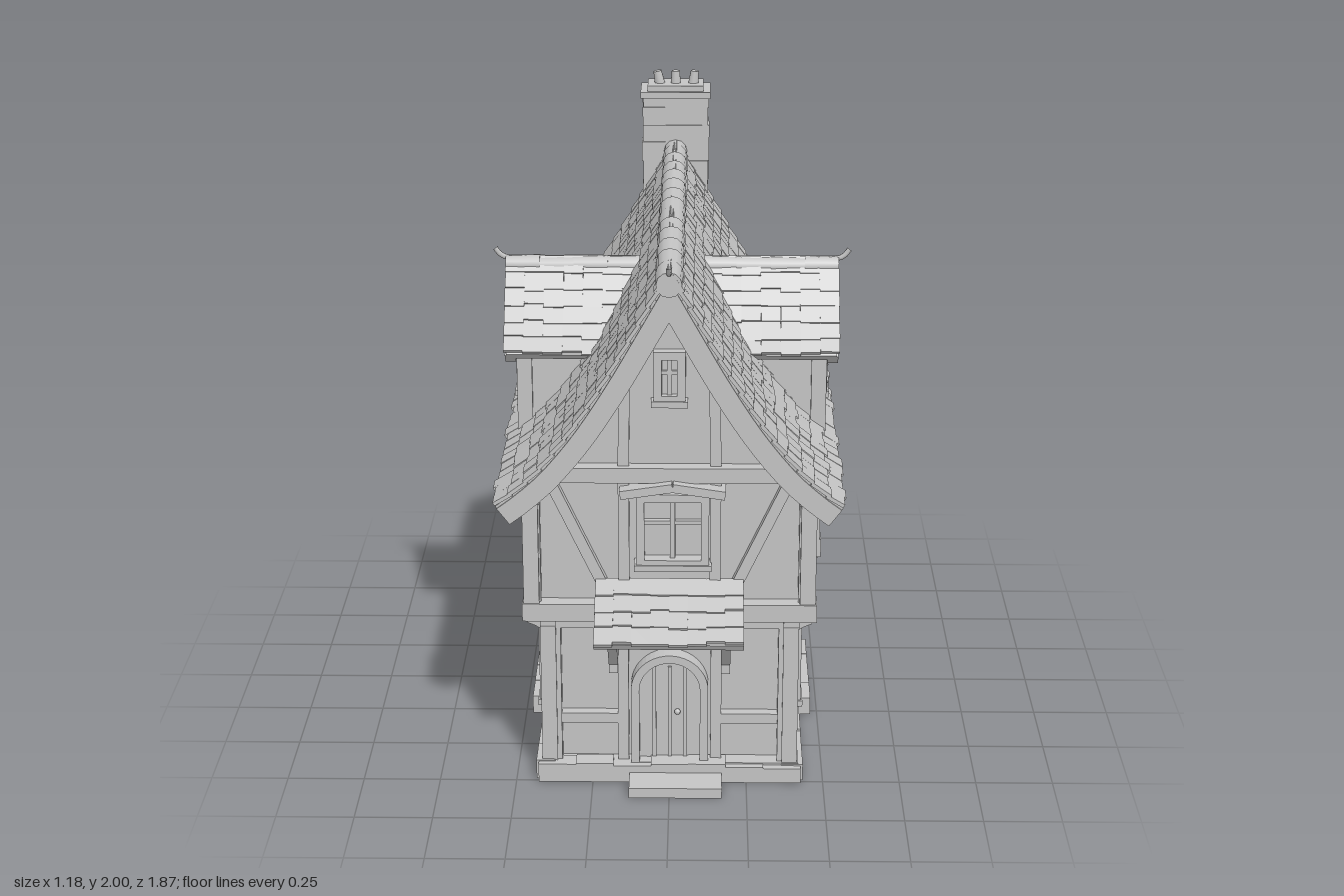
import * as THREE from 'three';
import { mergeGeometries } from 'three/addons/utils/BufferGeometryUtils.js';

const grey = new THREE.MeshStandardMaterial({ color: 0xc4c4c4 });
grey.name = 'plain grey';

let seed = 7;
const rnd = (a = 0, b = 1) => {
  seed = (seed * 16807) % 2147483647;
  return a + (b - a) * (seed / 2147483647);
};

function add(parent, name, geo, x = 0, y = 0, z = 0) {
  const m = new THREE.Mesh(geo, grey);
  m.name = name;
  m.position.set(x, y, z);
  parent.add(m);
  return m;
}
function sub(parent, name, rotY = 0, z = 0) {
  const g = new THREE.Group();
  g.name = name;
  g.rotation.y = rotY;
  g.position.z = z;
  parent.add(g);
  return g;
}
const box = (w, h, d, x = 0, y = 0, z = 0) => new THREE.BoxGeometry(w, h, d).translate(x, y, z);
const slab = (pts, depth) => new THREE.ExtrudeGeometry(
  new THREE.Shape(pts.map(p => new THREE.Vector2(p[0], p[1]))), { depth, bevelEnabled: false });

// straight timber between two points of a facade, standing out from plane z
function beam(g, x1, y1, x2, y2, w, z, d, name = 'timber') {
  const m = add(g, name, box(Math.hypot(x2 - x1, y2 - y1), w, d), (x1 + x2) / 2, (y1 + y2) / 2, z + d / 2);
  m.rotation.z = Math.atan2(y2 - y1, x2 - x1);
}

// curved wooden bracket, deepest at its top
function bracket(g, x, y, z, h, d, w = 0.05) {
  const s = new THREE.Shape();
  s.moveTo(0, 0); s.lineTo(0, -h); s.quadraticCurveTo(d * 0.25, -h * 0.4, d, -0.02); s.lineTo(d, 0);
  const geo = new THREE.ExtrudeGeometry(s, { depth: w, bevelEnabled: false, curveSegments: 5 });
  add(g, 'bracket', geo.translate(0, 0, -w / 2).rotateY(-Math.PI / 2), x, y, z);
}

// framed casement window with glazing bars and a sill
function casement(g, x, y, w, h, z, d = 0.035) {
  const t = 0.026, f = sub(g, 'window');
  f.position.set(x, y, z);
  add(f, 'glass', box(w, h, 0.008, 0, 0, 0.006));
  for (const s of [-1, 1]) {
    add(f, 'frameSide', box(t, h, d, s * (w - t) / 2, 0, d / 2));
    add(f, 'frameRail', box(w, t, d, 0, s * (h - t) / 2, d / 2));
  }
  add(f, 'mullion', box(0.016, h, d * 0.6, 0, 0, d * 0.3));
  add(f, 'glazingBar', box(w, 0.012, d * 0.5, 0, h * 0.08, d * 0.25));
  add(f, 'sill', box(w + 0.015, 0.02, d + 0.012, 0, -h / 2, d / 2));
}

// half roof profile: smooth samples from ridge to eave, and the same moved inwards
const sample = pts => new THREE.SplineCurve(pts.map(p => new THREE.Vector2(...p))).getSpacedPoints(18);
const inset = (pts, d) => pts.map((p, i) => {
  if (i === 0) return new THREE.Vector2(0, p.y - d * 1.7);
  const t = pts[Math.min(i + 1, pts.length - 1)].clone().sub(pts[i - 1]).normalize();
  return new THREE.Vector2(p.x + t.y * d, p.y - t.x * d);
});
const mirrored = pts => [...pts.slice().reverse().map(p => [p.x, p.y]), ...pts.slice(1).map(p => [-p.x, p.y])];
const band = (pts, d) => [...mirrored(pts), ...mirrored(inset(pts, d)).reverse()];

// overlapping shingles on a slope that falls towards +x, centred along z
function shingles(curve, length, rows, width) {
  const out = [], n = Math.round(length / width);
  for (let r = 0; r < rows; r++) {
    const a = curve.getPointAt(r / rows), b = curve.getPointAt((r + 1) / rows);
    const dir = b.clone().sub(a), len = dir.length(), ang = Math.atan2(dir.y, dir.x);
    for (let i = 0; i < n; i++) {
      const l = len * 1.1 + rnd(-0.008, 0.008), lift = rnd(0.002, 0.005);
      out.push(box(l, 0.012, length / n * rnd(0.98, 1.03), l / 2 - len * 0.1, 0, 0)
        .rotateZ(ang + 0.09 + rnd(-0.02, 0.02))
        .translate(a.x - Math.sin(ang) * lift, a.y + Math.cos(ang) * lift, (i + 0.5) * length / n - length / 2));
    }
  }
  return mergeGeometries(out);
}

// complete pitched roof along z with bargeboards, ridge and upturned ends
function pitchedRoof(g, profile, z0, z1, rows, board, ridgeR, ends) {
  const pts = sample(profile), curve = new THREE.SplineCurve(profile.map(p => new THREE.Vector2(...p)));
  const len = z1 - z0, zc = (z0 + z1) / 2, top = pts[0].y;
  add(g, 'roofDeck', slab(band(pts, 0.03), len - 0.02), 0, 0, z0 + 0.01);
  for (const e of ends) {
    add(g, 'bargeboard', slab(band(inset(pts, 0.008), board), 0.035), 0, 0, e > 0 ? z1 - 0.04 : z0 + 0.005);
    const horn = new THREE.CatmullRomCurve3([[0, -0.05], [0.004, 0], [0.015, 0.02], [0.035, 0.035]]
      .map(p => new THREE.Vector3(0, top + p[0], (e > 0 ? z1 : z0) + e * p[1])));
    add(g, 'ridgeHorn', new THREE.TubeGeometry(horn, 8, 0.009, 6));
  }
  for (const s of [0, Math.PI]) add(g, 'shingles', shingles(curve, len, rows, 0.065).rotateY(s), 0, 0, zc);
  const n = Math.round(len / 0.12);
  for (let i = 0; i < n; i++)
    add(g, 'ridgeTile', new THREE.CylinderGeometry(ridgeR, ridgeR * 1.08, len / n, 12).rotateX(Math.PI / 2),
      0, top - ridgeR * 0.75 + rnd(-0.003, 0.003), z0 + (i + 0.5) * len / n);
  return pts;
}

// arch outline for door and its frame
function arch(s, r, y0, spring) {
  s.moveTo(-r, y0); s.lineTo(r, y0); s.lineTo(r, spring);
  s.absarc(0, spring, r, 0, Math.PI); s.lineTo(-r, y0);
  return s;
}

// timbers of one gable end
function gableEnd(g) {
  beam(g, -0.47, 0.6, 0.47, 0.6, 0.06, 0.68, 0.08, 'sillBeam');
  beam(g, -0.4, 1.07, 0.4, 1.07, 0.05, 0.69, 0.065, 'collarBeam');
  beam(g, -0.4, 0.555, 0.4, 0.555, 0.035, 0.68, 0.06, 'headBeam');
  for (const s of [-1, 1]) {
    beam(g, s * 0.44, 0.58, s * 0.44, 1.04, 0.05, 0.68, 0.075, 'cornerPost');
    beam(g, s * 0.39, 0.06, s * 0.39, 0.58, 0.05, 0.67, 0.075, 'cornerPost');
    beam(g, s * 0.145, 0.62, s * 0.145, 1.05, 0.035, 0.69, 0.05, 'stud');
    beam(g, s * 0.375, 1.04, s * 0.19, 0.64, 0.035, 0.69, 0.048, 'brace');
    beam(g, s * 0.145, 1.09, s * 0.14, 1.42, 0.035, 0.69, 0.045, 'stud');
    beam(g, s * 0.15, 0.06, s * 0.15, 0.56, 0.035, 0.68, 0.05, 'stud');
    beam(g, s * 0.14, 0.21, s * 0.39, 0.21, 0.035, 0.68, 0.05, 'rail');
    bracket(g, s * 0.39, 0.57, 0.72, 0.12, 0.03);
  }
}

// timbers and windows of one long side with its projecting middle bay; m mirrors it
function longSide(g, m) {
  const b = (z1, y1, z2, y2, w, p, d, n) => beam(g, m * z1, y1, m * z2, y2, w, p, d, n);
  // main wall
  b(0.75, 0.6, -0.75, 0.6, 0.055, 0.4, 0.07, 'sillBeam');
  b(0.75, 0.99, -0.75, 0.99, 0.045, 0.41, 0.055, 'wallPlate');
  b(0.73, 0.555, -0.73, 0.555, 0.035, 0.345, 0.065, 'headBeam');
  for (const s of [-1, 1]) {
    b(s * 0.715, 0.6, s * 0.715, 1.0, 0.045, 0.41, 0.055, 'upperPost');
    b(s * 0.715, 0.06, s * 0.715, 0.58, 0.045, 0.35, 0.065, 'lowerPost');
    b(s * 0.69, 0.96, s * 0.53, 0.63, 0.035, 0.405, 0.045, 'brace');
    b(s * 0.695, 0.2, s * 0.6, 0.08, 0.03, 0.35, 0.04, 'smallBrace');
    bracket(g, s * 0.715, 0.575, 0.37, 0.1, 0.085, 0.045);
  }
  for (const z of [0.61, 0.26, -0.31, -0.55]) b(z, 0.06, z, 0.56, 0.025, 0.35, 0.04, 'stud');
  b(0.715, 0.21, 0.6, 0.21, 0.035, 0.35, 0.04, 'rail');
  b(-0.11, 0.21, -0.715, 0.21, 0.035, 0.35, 0.045, 'rail');
  casement(g, m * 0.405, 0.885, 0.19, 0.23, 0.42, 0.045);
  casement(g, m * -0.395, 0.885, 0.18, 0.22, 0.42, 0.045);
  casement(g, m * 0.435, 0.34, 0.32, 0.28, 0.365, 0.065);
  casement(g, m * -0.42, 0.34, 0.2, 0.26, 0.365, 0.06);
  // middle bay
  add(g, 'bayUpperWall', box(0.36, 0.46, 0.1, m * 0.03, 0.8, 0.42));
  add(g, 'bayLowerWall', box(0.32, 0.55, 0.1, m * 0.045, 0.305, 0.355));
  b(0.225, 0.595, -0.165, 0.595, 0.065, 0.41, 0.095, 'baySill');
  b(0.22, 0.99, -0.16, 0.99, 0.045, 0.44, 0.06, 'bayPlate');
  for (const z of [0.205, -0.145]) b(z, 0.6, z, 1.0, 0.045, 0.4, 0.1, 'bayUpperPost');
  for (const z of [0.195, -0.11]) {
    b(z, 0.06, z, 0.58, 0.045, 0.35, 0.095, 'bayLowerPost');
    bracket(g, m * z, 0.575, 0.42, 0.09, 0.075, 0.04);
  }
  for (const z of [0.24, -0.22]) bracket(g, m * z, 0.575, 0.37, 0.085, 0.09, 0.035);
  b(0.195, 0.21, -0.11, 0.21, 0.035, 0.385, 0.045, 'rail');
  b(0.195, 0.47, -0.11, 0.47, 0.035, 0.385, 0.055, 'bayHead');
  b(0.17, 0.37, -0.04, 0.1, 0.035, 0.385, 0.045, 'brace');
}

// dormer facing local +z
function dormer(g) {
  const pts = pitchedRoof(g, [[0, 1.575], [0.08, 1.465], [0.15, 1.375], [0.212, 1.31]], 0.1, 0.55, 6, 0.045, 0.03, [1]);
  const head = inset(pts, 0.02).filter(p => p.x < 0.15);
  add(g, 'dormerWall', slab([[0.15, 0.97], ...mirrored(head), [-0.15, 0.97]], 0.29), 0, 0, 0.19);
  for (const s of [-1, 1]) beam(g, s * 0.145, 0.98, s * 0.145, 1.36, 0.035, 0.46, 0.05, 'dormerPost');
  beam(g, -0.14, 1.385, 0.14, 1.385, 0.03, 0.46, 0.045, 'dormerHead');
  beam(g, -0.15, 1.02, 0.15, 1.02, 0.04, 0.46, 0.05, 'dormerSill');
  casement(g, 0, 1.25, 0.21, 0.22, 0.475, 0.04);
}

export function createModel() {
  seed = 7;
  const root = new THREE.Group();
  root.name = 'cottage';

  // roof and walls
  const house = sub(root, 'house', 0, -0.015);
  const pts = pitchedRoof(sub(house, 'mainRoof'), [[0, 1.75], [0.1, 1.57], [0.2, 1.395], [0.3, 1.24], [0.4, 1.115],
    [0.48, 1.04], [0.542, 0.992]], -0.825, 0.83, 15, 0.066, 0.04, [-1, 1]);
  const head = inset(pts, 0.02).filter(p => p.x < 0.415);
  add(house, 'upperWalls', slab([[0.42, 0.57], [0.42, 1.04], ...mirrored(head), [-0.42, 1.04], [-0.42, 0.57]], 1.42), 0, 0, -0.71);
  add(house, 'lowerWalls', box(0.725, 0.55, 1.39, 0, 0.305, 0));
  const front = sub(house, 'frontGable');
  gableEnd(front);
  gableEnd(sub(house, 'backGable', Math.PI));
  for (const s of [-1, 1]) {
    longSide(sub(house, s > 0 ? 'leftSide' : 'rightSide', s * Math.PI / 2), -s);
    dormer(sub(root, s > 0 ? 'leftDormer' : 'rightDormer', s * Math.PI / 2, 0.07));
  }

  // front windows and arched door
  casement(front, 0.01, 0.885, 0.23, 0.25, 0.71, 0.055);
  for (const s of [-1, 1]) beam(front, 0.01, 1.04, 0.01 + s * 0.165, 1.015, 0.028, 0.71, 0.075, 'windowHood');
  casement(front, 0, 1.39, 0.1, 0.17, 0.71);
  const frame = arch(new THREE.Shape(), 0.125, 0.04, 0.32);
  frame.holes.push(arch(new THREE.Path(), 0.098, 0.05, 0.32));
  add(front, 'doorFrame', new THREE.ExtrudeGeometry(frame, { depth: 0.06, bevelEnabled: false }), 0, 0, 0.69);
  add(front, 'door', new THREE.ExtrudeGeometry(arch(new THREE.Shape(), 0.1, 0.04, 0.32),
    { depth: 0.02, bevelEnabled: false }), 0, 0, 0.69);
  for (const x of [-0.05, 0, 0.05]) add(front, 'doorBatten', box(0.012, 0.34, 0.008, x, 0.22, 0.713));
  add(front, 'doorKnob', new THREE.SphereGeometry(0.01, 10, 8), 0.025, 0.23, 0.72);

  // porch canopy with struts
  const porch = sub(root, 'porch', -Math.PI / 2);
  const slope = new THREE.LineCurve(new THREE.Vector2(0.72, 0.7), new THREE.Vector2(0.93, 0.575));
  add(porch, 'canopyShingles', shingles(slope, 0.47, 4, 0.06));
  beam(porch, 0.71, 0.695, 0.925, 0.567, 0.025, -0.235, 0.47, 'canopyDeck');
  for (const x of [-0.18, 0.18]) {
    beam(porch, 0.73, 0.42, 0.87, 0.58, 0.028, x - 0.015, 0.03, 'canopyStrut');
    beam(porch, 0.7, 0.575, 0.91, 0.575, 0.028, x - 0.015, 0.03, 'canopyArm');
    beam(porch, 0.735, 0.39, 0.735, 0.6, 0.03, x - 0.015, 0.03, 'canopyPost');
  }

  // stone plinth with uneven blocks and bays
  const stones = [box(0.84, 0.06, 1.5, 0, 0.03, -0.015), box(0.3, 0.035, 0.16, 0.02, 0.0175, 0.785)];
  for (const s of [-1, 1]) {
    for (let i = 0; i < 13; i++) {
      const z = 0.68 - i * 0.116, bay = z < 0.24 && z > -0.14;
      const d = 0.06 + rnd(0, 0.012), h = rnd(0.055, 0.068);
      stones.push(box(d, h, 0.117, s * ((bay ? 0.477 : 0.435) - d / 2), h / 2, z));
    }
    for (let i = 0; i < 7; i++) {
      const h = rnd(0.052, 0.068), d = rnd(0.06, 0.07);
      stones.push(box(0.122, h, d, -0.366 + i * 0.122, h / 2, s > 0 ? 0.76 - d / 2 : -0.79 + d / 2));
    }
  }
  add(root, 'stonePlinth', mergeGeometries(stones));

  // chimney stack of rough courses, cap and pots
  const chimney = sub(root, 'chimney', 0, -0.85);
  const courses = [box(0.26, 0.05, 0.145, 0, 0.025, 0), box(0.22, 1.48, 0.09, 0, 0.74, 0.085)];
  for (let y = 0; y < 1.9;) {
    const h = Math.min(rnd(0.06, 0.095), 1.93 - y), split = rnd(-0.05, 0.05);
    for (const s of [-1, 1]) for (const t of [-1, 1]) {
      const edge = s * (0.118 + rnd(-0.003, 0.004)), w = Math.abs(edge - split);
      const d = 0.067 + rnd(-0.003, 0.004);
      courses.push(box(w, h, d, (edge + split) / 2, y + h / 2, t * d / 2));
    }
    y += h;
  }
  add(chimney, 'stack', mergeGeometries(courses));
  add(chimney, 'capSlab', box(0.25, 0.022, 0.16, 0, 1.925, 0));
  add(chimney, 'capTop', box(0.2, 0.02, 0.12, 0, 1.945, 0));
  [-0.06, 0, 0.065].forEach((x, i) => {
    const pot = add(chimney, 'chimneyPot', new THREE.CylinderGeometry(0.015, 0.02, 0.06, 10), x, 1.968, 0);
    pot.rotation.z = [0.2, 0, -0.12][i];
  });
  return root;
}
